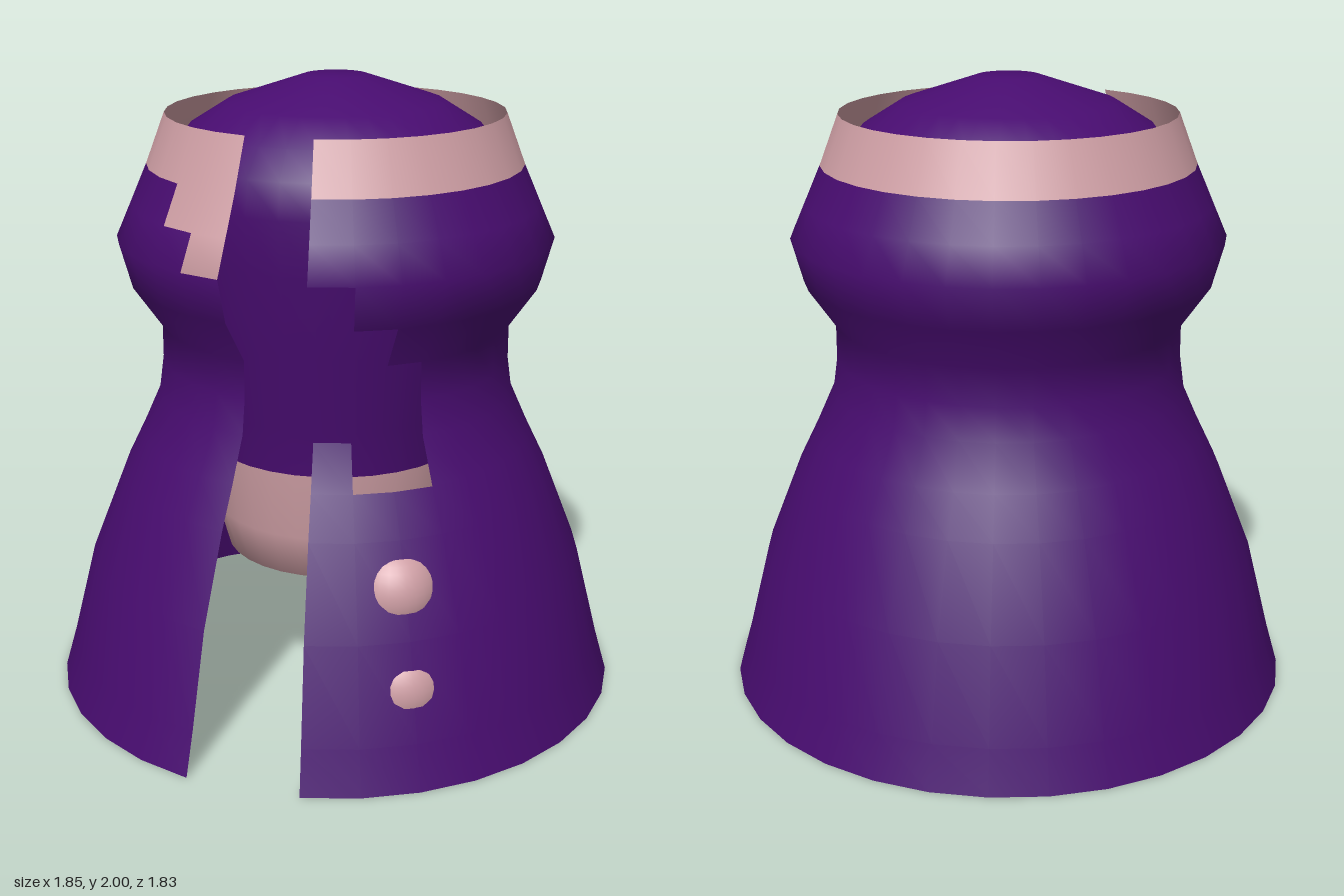
import * as THREE from 'three';

const SEGMENTS = 32;
const purple = new THREE.MeshStandardMaterial({ color: 0x480c70, side: THREE.DoubleSide });
purple.name = 'deep purple';
const pink = new THREE.MeshStandardMaterial({ color: 0xcf9fa5, side: THREE.DoubleSide });
pink.name = 'dusty pink';

const toPoints = (pairs) => pairs.map(([r, y]) => new THREE.Vector2(r, y));

function addMesh(parent, name, geometry, material) {
  const mesh = new THREE.Mesh(geometry, material);
  mesh.name = name;
  parent.add(mesh);
  return mesh;
}

// Keeps only the lathe cells (column, row) that pass the test, with the smooth normals intact
function pickCells(lathe, rows, test) {
  const source = lathe.index.array;
  const kept = [];
  for (let col = 0; col < SEGMENTS; col++) {
    for (let row = 0; row < rows; row++) {
      if (!test(col, row)) continue;
      const start = (col * rows + row) * 6;
      for (let k = 0; k < 6; k++) kept.push(source[start + k]);
    }
  }
  const geometry = lathe.clone();
  geometry.setIndex(kept);
  return geometry;
}

export function createModel() {
  const model = new THREE.Group();
  model.name = 'cloakedFigure';

  // Cloak: one lathed shell, open at the front, with a stepped tear on its left side
  const cloakProfile = [
    [0.925, 0], [0.885, 0.14], [0.81, 0.44], [0.7, 0.72], [0.637, 0.85], [0.575, 0.99], [0.56, 1.1],
    [0.56, 1.22], [0.657, 1.36], [0.695, 1.5], [0.647, 1.61], [0.595, 1.73], [0.535, 1.89],
  ];
  const rows = cloakProfile.length - 1;
  const shell = new THREE.LatheGeometry(toPoints(cloakProfile), SEGMENTS);

  // Torn columns for each row, counted from the front centre towards +x
  const torn = { 4: [2, 3], 5: [1, 3], 6: [1, 3], 7: [1, 2], 8: [1, 1] };
  const isOpen = (col, row) => {
    if (col === 0 || col === SEGMENTS - 1) return true;
    const range = torn[row];
    return range !== undefined && col >= range[0] && col <= range[1];
  };
  // Collar band, plus a stepped lapel on the -x side of the opening
  const isTrim = (col, row) =>
    row === 11 || (row === 10 && (col === 29 || col === 30)) || (row === 9 && col === 30);

  addMesh(model, 'cloak',
    pickCells(shell, rows, (c, r) => !isOpen(c, r) && !isTrim(c, r)), purple);
  addMesh(model, 'collarAndLapel',
    pickCells(shell, rows, (c, r) => !isOpen(c, r) && isTrim(c, r)), pink);

  // Inner body: a tapered rounded form, purple above and pink below
  const bodyProfile = [
    [0, 0.385], [0.15, 0.395], [0.27, 0.415], [0.36, 0.455], [0.4, 0.6], [0.42, 0.82],
    [0.44, 0.97], [0.485, 1.22], [0.525, 1.48], [0.54, 1.65],
    [0.525, 1.76], [0.46, 1.845], [0.34, 1.92], [0.1, 2.0], [0, 2.0],
  ];
  const bodyRows = bodyProfile.length - 1;
  const body = new THREE.LatheGeometry(toPoints(bodyProfile), SEGMENTS);
  addMesh(model, 'lowerBody', pickCells(body, bodyRows, (c, r) => r < 5), pink);
  addMesh(model, 'upperBody', pickCells(body, bodyRows, (c, r) => r >= 5), purple);

  // Buttons: balls set inside the cloak so that only their caps show
  const buttonGeometry = new THREE.SphereGeometry(0.148, 32, 20);
  const buttonAngle = THREE.MathUtils.degToRad(33.6);
  for (const [name, radius, y] of [['upperButton', 0.635, 0.547], ['lowerButton', 0.712, 0.268]]) {
    addMesh(model, name, buttonGeometry, pink)
      .position.set(radius * Math.sin(buttonAngle), y, radius * Math.cos(buttonAngle));
  }

  return model;
}
